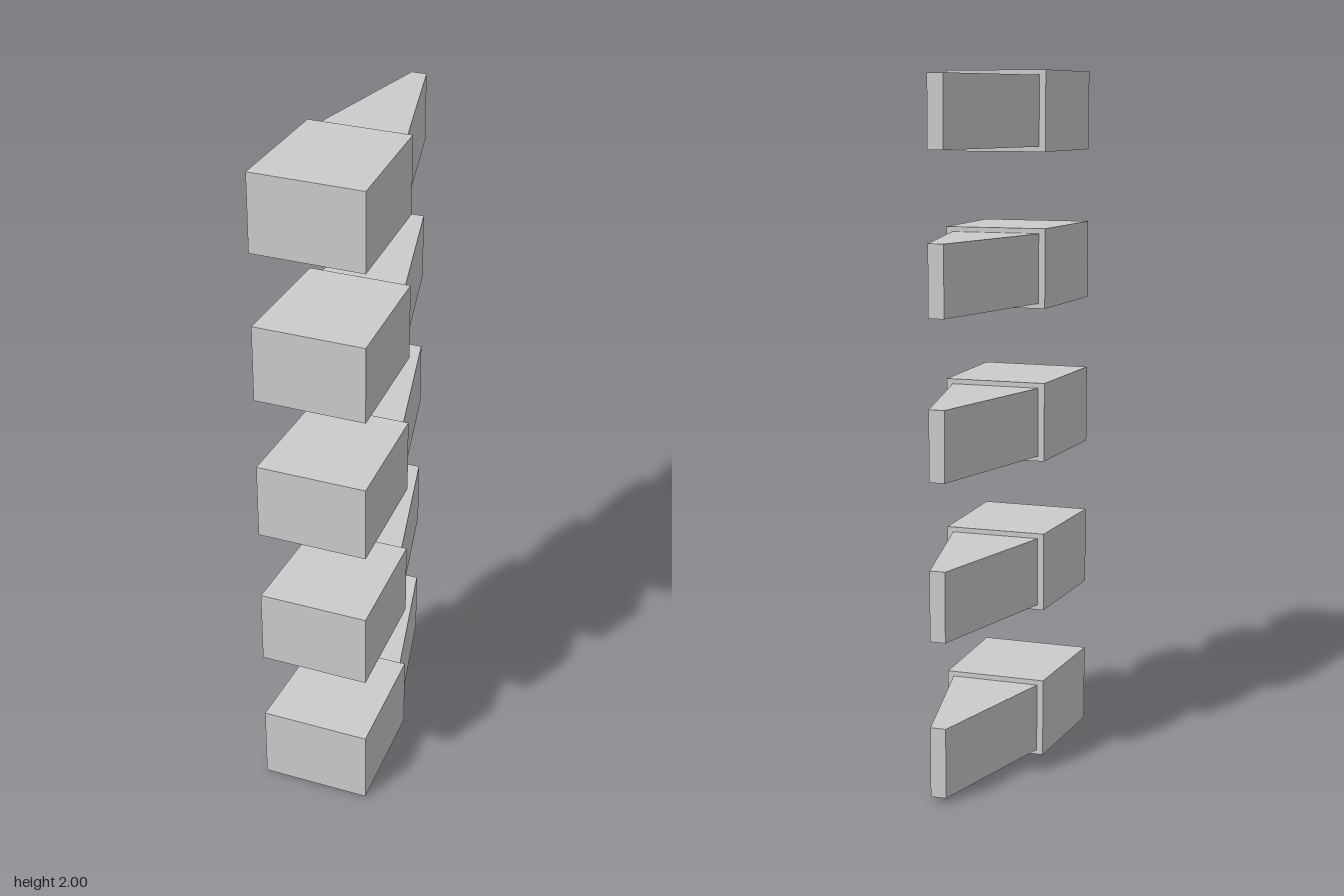
import * as THREE from 'three';

// Upright prism from a plan outline of [x, z] corners
function prism(outline, height) {
  const shape = new THREE.Shape(outline.map(([x, z]) => new THREE.Vector2(x, -z)));
  const geometry = new THREE.ExtrudeGeometry(shape, { depth: height, bevelEnabled: false });
  return geometry.rotateX(-Math.PI / 2);
}

export function createModel() {
  const model = new THREE.Group();
  model.name = 'spikeStack';
  const grey = new THREE.MeshStandardMaterial({ color: 0xcccccc });
  grey.name = 'lightGrey';

  const count = 5, blockHeight = 0.228, inset = 0.0145;
  const pitch = (2 - blockHeight) / (count - 1);

  // Wide block at the rear of each spike
  const blockGeometry = prism(
    [[-0.387, 0.072], [-0.187, 0.329], [0.1, 0.088], [-0.085, -0.147]], blockHeight);
  // Tapered point, slightly lower than the block
  const tipGeometry = prism(
    [[-0.073, -0.133], [0.089, 0.074], [0.386, -0.296], [0.358, -0.331]], blockHeight - 2 * inset);

  for (let i = 0; i < count; i++) {
    const spike = new THREE.Group();
    spike.name = `spike${i + 1}`;
    spike.position.y = i * pitch;

    const block = new THREE.Mesh(blockGeometry, grey);
    block.name = 'block';
    const tip = new THREE.Mesh(tipGeometry, grey);
    tip.name = 'taperedTip';
    tip.position.y = inset;

    spike.add(block, tip);
    model.add(spike);
  }
  return model;
}
